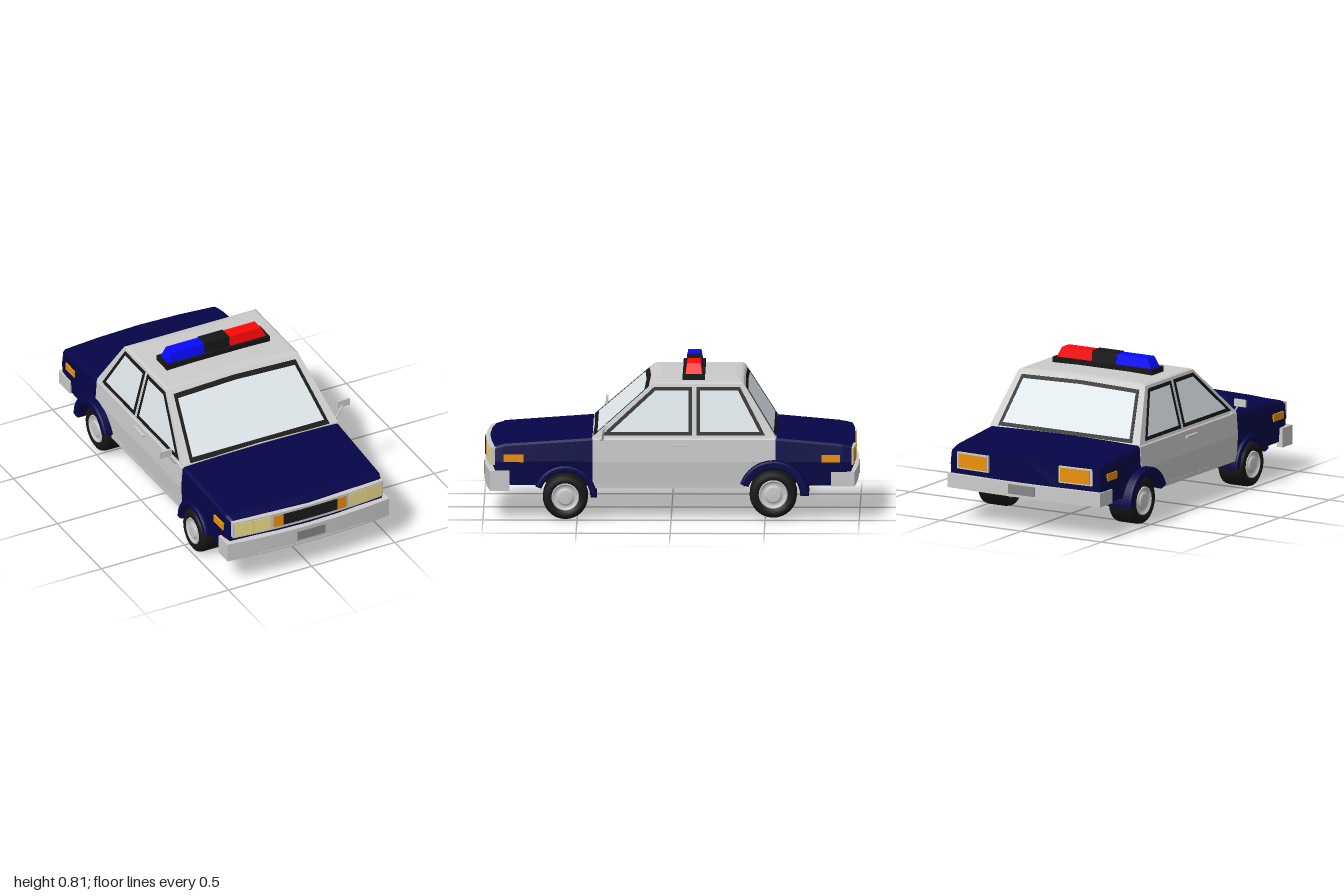
import * as THREE from 'three';

const mat = (color) => new THREE.MeshStandardMaterial({ color });
const white = mat(0xcccccc), navy = mat(0x050548), black = mat(0x161616), glass = mat(0xdde6ea);
const amber = mat(0xee9208), yellow = mat(0xf0e08c), grey = mat(0x888888);
const blueLamp = mat(0x0808ff), redLamp = mat(0xff0808), tyreMat = mat(0x161616);

// Skin between closed rings of points, flat shaded, capped at both ends
function loft(rings) {
  const pos = [], tri = (a, b, c) => pos.push(...a, ...b, ...c);
  const n = rings[0].length, last = rings[rings.length - 1];
  for (let i = 0; i < rings.length - 1; i++) {
    for (let j = 0; j < n; j++) {
      const k = (j + 1) % n, a = rings[i], b = rings[i + 1];
      tri(a[j], a[k], b[k]);
      tri(a[j], b[k], b[j]);
    }
  }
  for (let j = 1; j < n - 1; j++) {
    tri(rings[0][0], rings[0][j + 1], rings[0][j]);
    tri(last[0], last[j], last[j + 1]);
  }
  const g = new THREE.BufferGeometry();
  g.setAttribute('position', new THREE.Float32BufferAttribute(pos, 3));
  g.computeVertexNormals();
  return g;
}
const rect = (x0, x1, y, z0, z1) => [[x1, y, z1], [x1, y, z0], [x0, y, z0], [x0, y, z1]];

// Move each vertex by a rule
function warp(g, rule) {
  const p = g.attributes.position;
  for (let i = 0; i < p.count; i++) p.setXYZ(i, ...rule(p.getX(i), p.getY(i), p.getZ(i)));
  g.computeVertexNormals();
  return g;
}
// The ends of the car bow outwards towards the middle, the front more so
const bowed = (x, y, z) => [x, y, z > 0.9 ? z - 0.14 * x * x : z < -0.9 ? z + 0.09 * x * x : z];

function add(parent, name, geometry, material) {
  const m = new THREE.Mesh(geometry, material);
  m.name = name;
  parent.add(m);
  return m;
}
// Box from limits, following the bow of the car ends
function box(parent, name, material, x0, x1, y0, y1, z0, z1) {
  const g = new THREE.BoxGeometry(x1 - x0, y1 - y0, z1 - z0, Math.ceil((x1 - x0) / 0.1), 1, 1);
  g.translate((x0 + x1) / 2, (y0 + y1) / 2, (z0 + z1) / 2);
  return add(parent, name, warp(g, bowed), material);
}

// Body stations along z: half width, floor and shoulder height; wheel wells: z, y, radius
const STATIONS = [[-0.975, 0.46, 0.19, 0.392], [-0.93, 0.465, 0.185, 0.402], [-0.56, 0.466, 0.178, 0.435],
  [0.42, 0.468, 0.178, 0.435], [0.92, 0.462, 0.185, 0.4], [0.965, 0.452, 0.19, 0.387]];
const WELLS = [[0.563, 0.12, 0.142], [-0.545, 0.132, 0.15]];

// Body cross-section at z, with the floor stepped up over the wheels; e is the skin offset
function section(z, e) {
  const i = Math.max(1, STATIONS.findIndex((s) => s[0] >= z - 1e-6)), a = STATIONS[i - 1], b = STATIONS[i];
  const [w, yb, yt] = [1, 2, 3].map((k) => THREE.MathUtils.mapLinear(z, a[0], b[0], a[k], b[k]) + e);
  const arch = WELLS.map(([cz, cy, r]) => (Math.abs(z - cz) < r ? cy + e + Math.sqrt(r * r - (z - cz) ** 2) : 0));
  const ya = Math.max(yb, ...arch);
  const half = [[0.272 - e, yb], [0.272 - e, ya], [w, ya], [w + 0.008, 0.31], [w, yt - 0.012], [w - 0.012, yt], [0.24, yt + 0.005]];
  const left = half.slice().reverse().map(([x, y]) => [-x, y]);
  return [[0, yt + 0.008], ...left, [0, yb], ...half].map(([x, y]) => [x, y, z]);
}
const hull = (z0, z1, n, e) => loft(Array.from({ length: n + 1 }, (_, i) => section(z0 + (z1 - z0) * i / n, e)));

// Shrink a counter-clockwise convex polygon by d
function inset(pts, d) {
  const n = pts.length;
  const edges = pts.map((p, i) => {
    const q = pts[(i + 1) % n], l = Math.hypot(q[0] - p[0], q[1] - p[1]);
    const dx = (q[0] - p[0]) / l, dy = (q[1] - p[1]) / l;
    return { x: p[0] - dy * d, y: p[1] + dx * d, dx, dy };
  });
  return edges.map((b, i) => {
    const a = edges[(i + n - 1) % n];
    const t = ((b.x - a.x) * b.dy - (b.y - a.y) * b.dx) / (a.dx * b.dy - a.dy * b.dx);
    return [a.x + a.dx * t, a.y + a.dy * t];
  });
}
// Framed pane laid on a sloping surface
function pane(parent, name, pts, rule) {
  const vec = (a) => a.map(([x, y]) => new THREE.Vector2(x, y));
  const inner = inset(pts, 0.018), shape = new THREE.Shape(vec(pts));
  shape.holes.push(new THREE.Path(vec(inner)));
  add(parent, name + 'Frame', warp(new THREE.ExtrudeGeometry(shape, { depth: 0.003, bevelEnabled: false }), rule), black);
  add(parent, name + 'Glass', warp(new THREE.ShapeGeometry(new THREE.Shape(vec(inner))).translate(0, 0, 0.0015), rule), glass);
}

// Cabin slopes between waist and roof edge
const Y0 = 0.435, Y1 = 0.718;
const slope = (a, b) => (y) => a + (b - a) * (y - Y0) / (Y1 - Y0);
const sideX = slope(0.468, 0.395), frontZ = slope(0.42, 0.098), rearZ = slope(-0.56, -0.385);

// Wheel with a rim on both faces
function wheel(parent, name, y, z, r) {
  const w = new THREE.Group();
  w.name = name;
  const spin = (pts) => {
    const both = [...pts.map(([a, b]) => [a, -b]), ...pts.slice().reverse()];
    return new THREE.LatheGeometry(both.map(([a, b]) => new THREE.Vector2(a, b)), 32).rotateZ(-Math.PI / 2);
  };
  add(w, 'tyre', spin([[0, 0.066], [r * 0.6, 0.066], [r * 0.65, 0.078], [r * 0.85, 0.078], [r * 0.96, 0.069], [r, 0.05]]), tyreMat);
  add(w, 'rim', spin([[0, 0.08], [r * 0.3, 0.08], [r * 0.34, 0.076], [r * 0.37, 0.069], [r * 0.5, 0.069], [r * 0.55, 0.078], [r * 0.6, 0.078], [r * 0.62, 0.066]]), white);
  w.position.set(0.409, y, z);
  parent.add(w);
}

// Flared arch over a wheel, running inwards as the wheel well lining
function fender(parent, name, [z, y, r], rOut, xOut) {
  const s = new THREE.Shape(), end = Math.PI * 0.89;
  s.absarc(0, 0, rOut, 0, end, false);
  s.absarc(0, 0, r - 0.008, end, 0, true);
  const g = new THREE.ExtrudeGeometry(s, { depth: xOut - 0.293, bevelSize: 0.01, bevelThickness: 0.01, bevelOffset: -0.01, bevelSegments: 3, curveSegments: 16 });
  add(parent, name, g.rotateY(Math.PI / 2).translate(0.283, y, z), navy);
}

// Everything that repeats on both sides, built for the left
function buildSide(name) {
  const s = new THREE.Group();
  s.name = name;
  wheel(s, 'frontWheel', 0.12, 0.562, 0.12);
  wheel(s, 'rearWheel', 0.135, -0.543, 0.126);
  fender(s, 'frontFender', WELLS[0], 0.168, 0.49);
  fender(s, 'rearFender', WELLS[1], 0.188, 0.52);

  const onSide = (u, v, w) => [sideX(v) + w, v, -u];
  pane(s, 'frontDoorWindow', [[-0.37, 0.45], [0.11, 0.45], [0.11, 0.702], [-0.09, 0.702]], onSide);
  pane(s, 'rearDoorWindow', [[0.135, 0.45], [0.5, 0.45], [0.365, 0.702], [0.135, 0.702]], onSide);
  box(s, 'doorHandle', white, 0.465, 0.488, 0.39, 0.402, -0.105, 0);
  box(s, 'sill', white, 0.455, 0.4725, 0.167, 0.19, -0.385, 0.41);

  box(s, 'frontMarker', amber, 0.46, 0.477, 0.307, 0.347, 0.785, 0.89);
  box(s, 'rearMarker', amber, 0.46, 0.477, 0.307, 0.347, -0.899, -0.8);
  box(s, 'frontBumperEnd', white, 0.45, 0.486, 0.155, 0.26, 0.86, 0.958);
  box(s, 'rearBumperEnd', white, 0.45, 0.477, 0.18, 0.257, -0.965, -0.85);

  // Lamps
  box(s, 'outerHeadlight', yellow, 0.34, 0.44, 0.297, 0.375, 0.95, 0.991);
  box(s, 'innerHeadlight', yellow, 0.238, 0.333, 0.297, 0.375, 0.95, 0.991);
  box(s, 'indicator', amber, 0.165, 0.218, 0.303, 0.37, 0.95, 0.991);
  box(s, 'tailLightSurround', white, 0.22, 0.42, 0.287, 0.378, -0.983, -0.93);
  box(s, 'tailLight', amber, 0.23, 0.41, 0.295, 0.37, -0.987, -0.94);

  // Mirror on a bent stalk
  const path = new THREE.CatmullRomCurve3([[0.452, 0.43, 0.37], [0.48, 0.435, 0.365], [0.51, 0.475, 0.36], [0.525, 0.495, 0.355]].map((p) => new THREE.Vector3(...p)));
  add(s, 'mirrorStalk', new THREE.TubeGeometry(path, 12, 0.006, 6), white);
  add(s, 'mirrorMount', new THREE.SphereGeometry(0.014, 12, 8).translate(0.462, 0.43, 0.37), white);
  box(s, 'mirror', white, 0.5, 0.572, 0.483, 0.522, 0.343, 0.355);
  return s;
}

export function createModel() {
  const car = new THREE.Group();
  car.name = 'patrolCar';

  // Lower body and white door section
  add(car, 'body', warp(hull(-0.975, 0.965, 140, 0), bowed), navy);
  // The doors stop above the sills, over the dark floor
  add(car, 'doors', hull(-0.556, 0.418, 70, 0.004), white);

  // Cabin with a softly crowned roof
  const cabin = loft([
    rect(-sideX(Y0), sideX(Y0), Y0, rearZ(Y0), frontZ(Y0)),
    rect(-sideX(Y1), sideX(Y1), Y1, rearZ(Y1), frontZ(Y1)),
    rect(-0.382, 0.382, 0.725, -0.372, 0.083),
    rect(-0.15, 0.15, 0.731, -0.34, 0.05),
  ]);
  add(car, 'cabin', cabin, white);
  const screen = [[-0.418, 0.443], [0.418, 0.443], [0.366, 0.698], [0, 0.706], [-0.366, 0.698]];
  pane(car, 'windscreen', screen, (u, v, w) => [u, v, frontZ(v) + w]);
  pane(car, 'rearWindow', screen, (u, v, w) => [-u, v, rearZ(v) - w]);

  // Front panel and grille
  box(car, 'frontPanel', white, -0.45, 0.45, 0.288, 0.383, 0.93, 0.988);
  box(car, 'grille', black, -0.162, 0.162, 0.303, 0.37, 0.95, 0.99);
  for (let i = 0; i < 6; i++) {
    const y = 0.307 + i * 0.011;
    box(car, 'grilleSlat', black, -0.16, 0.16, y, y + 0.005, 0.95, 0.995);
  }

  // Bumpers and plates
  box(car, 'frontBumper', white, -0.486, 0.486, 0.155, 0.26, 0.95, 0.995);
  box(car, 'frontBumperStrip', white, -0.32, 0.32, 0.163, 0.169, 0.96, 0.998);
  box(car, 'rearBumper', white, -0.477, 0.477, 0.18, 0.257, -0.995, -0.95);
  box(car, 'frontPlate', grey, -0.083, 0.083, 0.188, 0.24, 0.97, 1);
  box(car, 'rearPlate', grey, -0.083, 0.083, 0.195, 0.247, -1, -0.97);

  // Roof light bar
  const bar = new THREE.Group();
  bar.name = 'lightBar';
  car.add(bar);
  box(bar, 'lightBarBase', black, -0.31, 0.31, 0.722, 0.757, -0.178, -0.06);
  add(bar, 'lightBarCentre', loft([rect(-0.075, 0.075, 0.755, -0.165, -0.073), rect(-0.075, 0.075, 0.815, -0.157, -0.081)]), black);
  add(bar, 'redLamp', loft([rect(0.075, 0.295, 0.755, -0.163, -0.075), rect(0.075, 0.266, 0.811, -0.154, -0.084)]), redLamp);
  add(bar, 'blueLamp', loft([rect(-0.295, -0.075, 0.755, -0.163, -0.075), rect(-0.266, -0.075, 0.811, -0.154, -0.084)]), blueLamp);

  const right = buildSide('rightSide');
  right.scale.x = -1;
  car.add(buildSide('leftSide'), right);
  return car;
}
